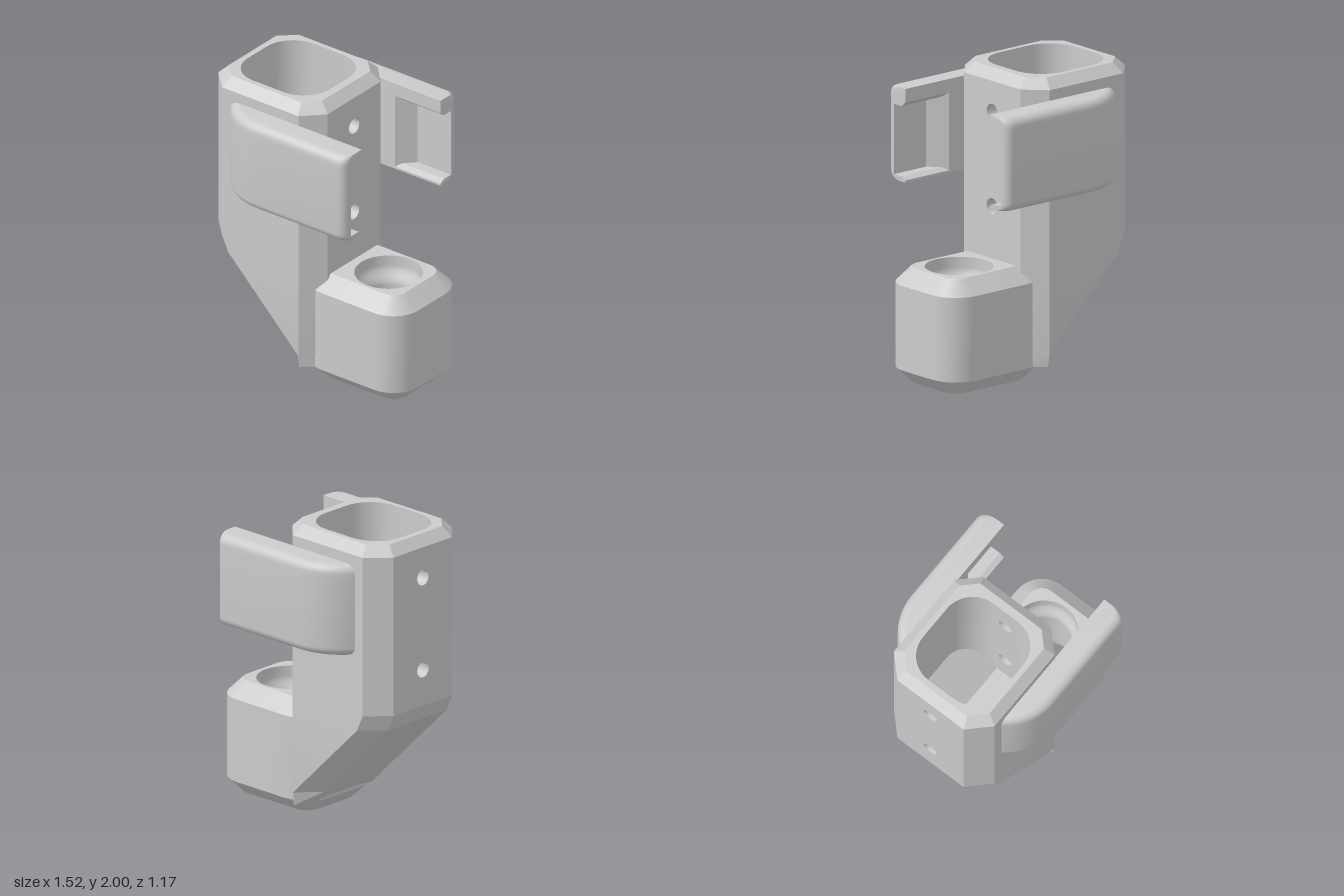
import * as THREE from 'three';
import { toCreasedNormals } from 'three/addons/utils/BufferGeometryUtils.js';

const material = new THREE.MeshStandardMaterial({ color: 0xcccccc });
const twoSided = new THREE.MeshStandardMaterial({ color: 0xcccccc, side: THREE.DoubleSide });

function addMesh(parent, name, geometry, mat = material) {
  const mesh = new THREE.Mesh(geometry, mat);
  mesh.name = name;
  parent.add(mesh);
  return mesh;
}

// Surface through a stack of closed loops of [x, y, z]; skip(layer, segment) leaves gaps
function skin(loops, { caps = [], skip = () => false, crease = 0.45 } = {}) {
  const pos = [];
  for (let k = 0; k < loops.length - 1; k++) {
    const lo = loops[k], hi = loops[k + 1], n = lo.length;
    for (let i = 0; i < n; i++) {
      if (skip(k, i)) continue;
      const j = (i + 1) % n;
      pos.push(...lo[i], ...lo[j], ...hi[j], ...lo[i], ...hi[j], ...hi[i]);
    }
  }
  for (const up of caps) {
    const loop = up > 0 ? loops[loops.length - 1] : loops[0];
    const flat = loop.map((p) => new THREE.Vector2(p[0], p[2]));
    for (const [a, b, c] of THREE.ShapeUtils.triangulateShape(flat, [])) {
      const cross = (flat[b].x - flat[a].x) * (flat[c].y - flat[a].y) - (flat[b].y - flat[a].y) * (flat[c].x - flat[a].x);
      const order = cross * up < 0 ? [a, b, c] : [a, c, b];
      order.forEach((i) => pos.push(...loop[i]));
    }
  }
  const g = new THREE.BufferGeometry();
  g.setAttribute('position', new THREE.Float32BufferAttribute(pos, 3));
  return toCreasedNormals(g, crease);
}

// Horizontal face bounded by one loop, with another loop cut out of it
function ringFace(outer, inner, y, down = false) {
  const flat = (loop) => loop.map((p) => new THREE.Vector2(p[0], down ? p[2] : -p[2]));
  const shape = new THREE.Shape(flat(outer));
  shape.holes.push(new THREE.Path(flat(inner)));
  return new THREE.ShapeGeometry(shape).rotateX(down ? Math.PI / 2 : -Math.PI / 2).translate(0, y, 0);
}

const boltHeights = [1.105, 1.73], boltRadius = 0.053;

// Upright face at x, looking along side (+1 or -1), with the two bolt holes
function drilledPanel(x, side, halfZ, y0, y1) {
  const shape = new THREE.Shape([[-halfZ, y0], [halfZ, y0], [halfZ, y1], [-halfZ, y1]].map((p) => new THREE.Vector2(...p)));
  for (const y of boltHeights) shape.holes.push(new THREE.Path().absarc(0, y, boltRadius, 0, Math.PI * 2));
  return new THREE.ShapeGeometry(shape, 16).rotateY(side * Math.PI / 2).translate(x, 0, 0);
}

// Chamfered column section
function columnSection(y, left, { w = 0.41, zl = 0.27, mid = left + 0.14, rc = 0, right = 0.13, zr = 0.275 } = {}) {
  const half = [[left, y, zl], [mid, y, w], [rc, y, w], [right, y, zr]];
  return [...half, ...half.map(([x, h, z]) => [x, h, -z]).reverse()];
}

function roundedRect(x0, x1, hz, r, y, steps = 8) {
  const centres = [[x0 + r, hz - r], [x1 - r, hz - r], [x1 - r, r - hz], [x0 + r, r - hz]];
  return centres.flatMap(([cx, cz], q) => Array.from({ length: steps + 1 }, (_, i) => {
    const t = Math.PI - (q + i / steps) * Math.PI / 2;
    return [cx + r * Math.cos(t), y, cz + r * Math.sin(t)];
  }));
}

function buildColumn() {
  const group = new THREE.Group();
  group.name = 'column';
  const top = columnSection(2, -0.695, { w: 0.345, zl: 0.245, mid: -0.59, rc: -0.03, right: 0.065, zr: 0.25 });
  const layers = [
    columnSection(0.1, -0.05, { w: 0.395, mid: -0.005 }),
    columnSection(0.19, -0.14, { mid: -0.005 }),
    columnSection(0.75, -0.71), columnSection(0.86, -0.76), columnSection(1.935, -0.76), top,
  ];
  addMesh(group, 'columnShell', skin(layers, {
    caps: [-1], crease: 0.3,
    skip: (k, i) => (i === 3 && k < 4) || (i === 7 && k === 3),
  }));
  addMesh(group, 'rightPanel', drilledPanel(0.13, 1, 0.275, 0.1, 1.935));
  addMesh(group, 'leftPanel', drilledPanel(-0.76, -1, 0.27, 0.86, 1.935));

  // Socket: rounded pocket with a trough-shaped floor
  const cx = -0.3225, hw = 0.3325, r = 0.21, floorY = 0.85;
  const halfRows = [0.07];
  for (let i = 0; i <= 10; i++) halfRows.push(0.1 + r * Math.sin(i / 10 * Math.PI / 2));
  const rows = [...halfRows.map((z) => -z).reverse(), ...halfRows];
  const width = (z) => hw - r + Math.sqrt(Math.max(0, r * r - Math.max(0, Math.abs(z) - 0.1) ** 2));
  const floorAt = (z) => floorY + Math.abs(z) - 0.07;
  const pocket = (height) => [
    ...rows.map((z) => [cx + width(z), height(z), z]),
    ...[...rows].reverse().map((z) => [cx - width(z), height(z), z]),
  ];
  const rim = pocket(() => 2);
  const gap = halfRows.length - 1, gap2 = 2 * rows.length - 2 - gap;
  addMesh(group, 'socketWall', skin([pocket(floorAt), rim], { skip: (k, i) => i === gap || i === gap2 }));
  addMesh(group, 'socketFloor', skin(
    rows.map((z) => [[cx + width(z), floorAt(z), z], [cx - width(z), floorAt(z), z]]), { skip: (k, i) => i === 1 }));
  addMesh(group, 'socketRightPanel', drilledPanel(cx + hw, -1, 0.07, floorY, 2));
  addMesh(group, 'socketLeftPanel', drilledPanel(cx - hw, 1, 0.07, floorY, 2));
  addMesh(group, 'rim', ringFace(top, rim, 2));

  // Bolt hole linings through both walls
  for (const y of boltHeights) {
    for (const [a, b] of [[cx + hw, 0.13], [-0.76, cx - hw]]) {
      const lining = new THREE.CylinderGeometry(boltRadius, boltRadius, b - a, 24, 1, true).rotateZ(Math.PI / 2);
      addMesh(group, 'boltHole', lining.translate((a + b) / 2, y, 0), twoSided);
    }
  }
  return group;
}

function buildPod() {
  const group = new THREE.Group();
  group.name = 'lowerSocket';
  const section = (y, inset) => roundedRect(-0.07 + inset, 0.76 - inset, 0.34 - inset, 0.2 - inset, y);
  const loops = [section(0, 0.1), section(0.1, 0), section(0.66, 0), section(0.76, 0.1)];
  addMesh(group, 'lowerSocketShell', skin(loops));
  const hx = 0.41, hr = 0.22, segs = 48;
  const circle = Array.from({ length: segs }, (_, i) => {
    const t = i / segs * Math.PI * 2;
    return [hx + hr * Math.sin(t), 0, hr * Math.cos(t)];
  });
  addMesh(group, 'lowerSocketTop', ringFace(loops[3], circle, 0.76));
  addMesh(group, 'lowerSocketBase', ringFace(loops[0], circle, 0, true));

  // Bore with a smooth narrowed throat
  const upper = [[hr, 0.76]];
  for (let i = 0; i <= 8; i++) upper.push([hr - 0.0225 * (1 - Math.cos(i / 8 * Math.PI)), 0.69 - 0.12 * i / 8]);
  const profile = [...upper, ...upper.map(([r, y]) => [r, 0.76 - y]).reverse()].map((p) => new THREE.Vector2(...p));
  addMesh(group, 'bore', new THREE.LatheGeometry(profile, segs).translate(hx, 0, 0), twoSided);
  return group;
}

// Clip arm: curved root, filleted outer edges, open-ended recess on the inner face
function armGeometry(side) {
  const y0 = 1.245, y1 = 1.865, f = 0.06, inner = 0.408, steps = 6;
  const depthAt = (y) => {
    if (y <= 1.26 || y >= 1.775) return inner;
    if (y < 1.28) return inner + (y - 1.26) / 0.02 * 0.037;
    return y <= 1.745 ? 0.515 : inner + (1.775 - y) / 0.03 * 0.037;
  };
  const layers = [[1.26, inner], [1.28, 0.445], [1.28, 0.515], [1.745, 0.515], [1.745, 0.445], [1.775, inner]];
  for (let i = 0; i <= steps; i++) {
    const h = f * (1 - Math.cos(i / steps * Math.PI / 2));
    for (const y of [y0 + h, y1 - h]) layers.push([y, depthAt(y)]);
  }
  layers.sort((a, b) => a[0] - b[0]);
  const loops = layers.map(([y, zi]) => {
    const h = Math.min(f, y - y0, y1 - y);
    const d = f - Math.sqrt(Math.max(0, f * f - (f - h) ** 2));
    const pts = [], cz = 0.185, R = 0.4 - d, t0 = Math.asin((inner - cz) / R);
    for (let i = 0; i <= 10; i++) {
      const t = t0 + (Math.PI / 2 - t0) * i / 10;
      pts.push([-0.22 - R * Math.cos(t), y, cz + R * Math.sin(t)]);
    }
    for (let i = 0; i <= steps; i++) {
      const t = i / steps * Math.PI / 2;
      pts.push([0.51 - f + f * Math.sin(t), y, 0.585 - d - f + f * Math.cos(t)]);
    }
    pts.push([0.51, y, zi], [0.14 + (zi - inner) * 0.93, y, zi], [0.14, y, inner]);
    const placed = pts.map(([x, h2, z]) => [x, h2, z * side]);
    return side > 0 ? placed : placed.reverse();
  });
  return skin(loops, { caps: [-1, 1] });
}

export function createModel() {
  const model = new THREE.Group();
  model.name = 'clipHolder';
  model.add(buildColumn(), buildPod());
  addMesh(model, 'frontClipArm', armGeometry(1));
  addMesh(model, 'backClipArm', armGeometry(-1));
  return model;
}
